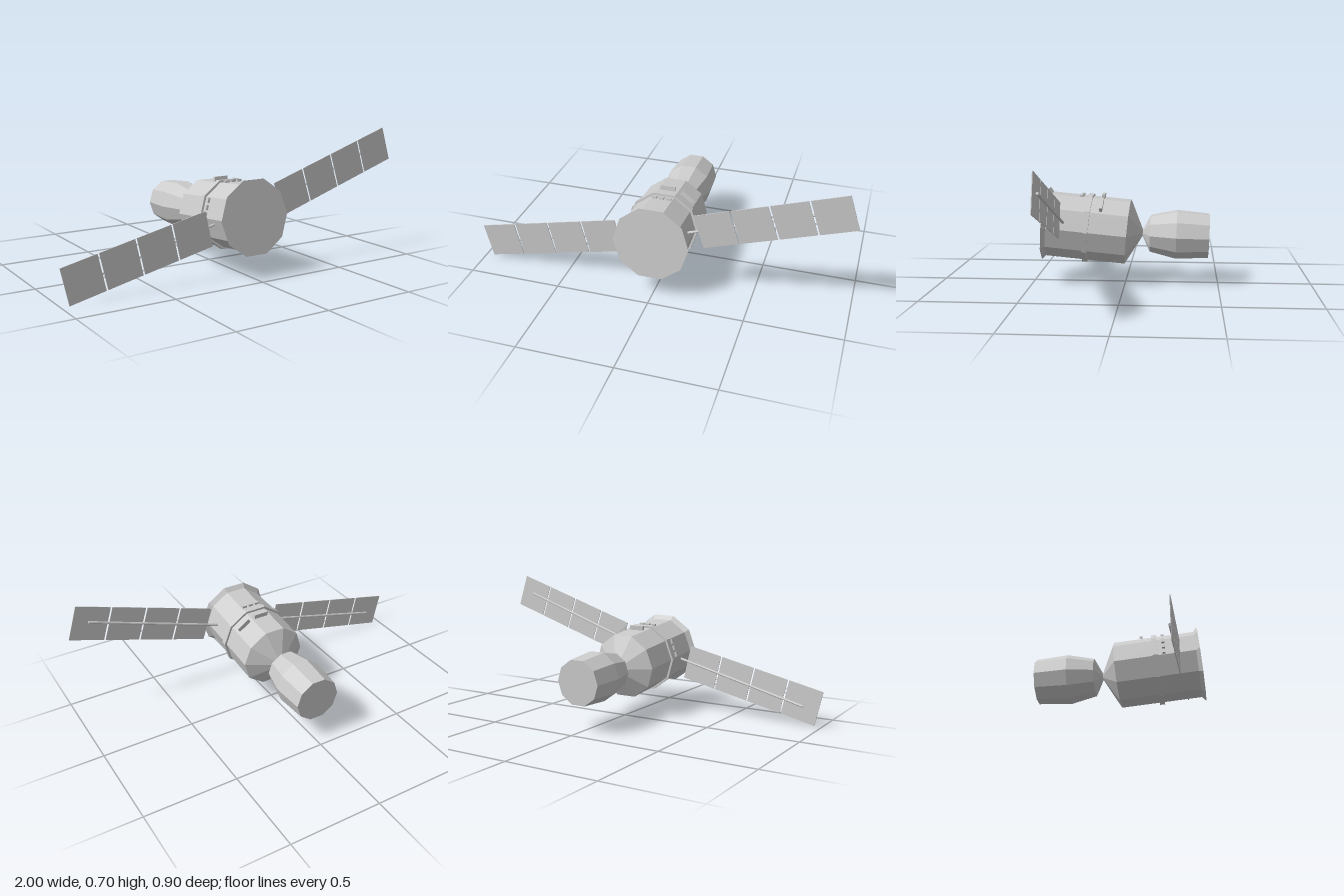
import * as THREE from 'three';

const SIDES = 10;
const APOTHEM = 0.177 * Math.cos(Math.PI / SIDES);

export function createModel() {
  const model = new THREE.Group();
  model.name = 'spacecraft';
  const grey = new THREE.MeshStandardMaterial({ color: 0xcccccc, flatShading: true });

  const add = (parent, name, geometry, x = 0, y = 0, z = 0) => {
    const mesh = new THREE.Mesh(geometry, grey);
    mesh.name = name;
    mesh.position.set(x, y, z);
    parent.add(mesh);
    return mesh;
  };

  // Ten-sided turned body along z, from [radius, z] pairs running back to front
  const turned = (profile) =>
    new THREE.LatheGeometry(profile.map(([r, z]) => new THREE.Vector2(r, z)), SIDES, Math.PI / 2)
      .rotateX(Math.PI / 2);

  // Main body, pitched slightly nose up
  const body = new THREE.Group();
  body.name = 'mainBody';
  body.position.set(-0.004, 0.28, 0);
  body.rotation.x = -0.094;
  model.add(body);
  add(body, 'hull', turned([[0, -0.096], [0.012, -0.096], [0.177, -0.013], [0.177, 0.415], [0.2, 0.436], [0, 0.436]]));
  add(body, 'hullBand', turned([[0.17, 0.19], [0.189, 0.19], [0.189, 0.217], [0.17, 0.217]]));

  // Block fixed to the facet that faces the given angle, shifted along the facet
  const facetBlock = (name, degrees, shift, z, width, height, depth) => {
    const a = THREE.MathUtils.degToRad(degrees);
    const r = APOTHEM + height / 2 - 0.001;
    const block = add(body, name, new THREE.BoxGeometry(width, height, depth),
      Math.cos(a) * r + Math.sin(a) * shift, Math.sin(a) * r - Math.cos(a) * shift, z);
    block.rotation.z = a - Math.PI / 2;
  };
  for (const angle of [90, 54]) facetBlock('rail', angle, 0, 0.135, 0.08, 0.025, 0.015);
  for (const angle of [90, 162])
    for (const shift of [-0.038, 0, 0.038]) facetBlock('sensor', angle, shift, 0.25, 0.025, 0.013, 0.016);

  // Aft module joined at the narrow neck
  const aft = new THREE.Group();
  aft.name = 'aftModule';
  aft.position.set(-0.005, 0.272, -0.093);
  aft.rotation.x = -0.031;
  model.add(aft);
  add(aft, 'aftHull', turned([[0, -0.356], [0.121, -0.356], [0.1335, -0.182], [0.101, -0.041], [0.012, 0.003], [0, 0.003]]));

  // Solar wings: four thin panels in a row with a spar behind them
  const wings = [
    { name: 'leftWing', panels: [[0.218, 0.371], [0.968, 0.615]], spar: [[0.15, 0.347], [0.885, 0.6]] },
    { name: 'rightWing', panels: [[-0.21, 0.268], [-0.979, 0.095]], spar: [[-0.15, 0.29], [-0.895, 0.1]] },
  ];
  for (const { name, panels, spar } of wings) {
    const wing = new THREE.Group();
    wing.name = name;
    model.add(wing);

    const [start, end] = panels.map(([x, y]) => new THREE.Vector3(x, y, 0.329));
    const length = start.distanceTo(end);
    const angle = Math.atan((end.y - start.y) / (end.x - start.x));
    const gap = 0.009;
    const width = (length - 3 * gap) / 4;
    for (let i = 0; i < 4; i++) {
      const panel = add(wing, 'solarPanel', new THREE.BoxGeometry(width, 0.189, 0.004));
      panel.position.lerpVectors(start, end, (width / 2 + i * (width + gap)) / length);
      panel.rotation.z = angle;
    }

    const [root, tip] = spar.map(([x, y]) => new THREE.Vector3(x, y, 0.32));
    const bar = add(wing, 'spar', new THREE.CylinderGeometry(0.007, 0.007, root.distanceTo(tip), 8));
    bar.position.lerpVectors(root, tip, 0.5);
    bar.quaternion.setFromUnitVectors(new THREE.Vector3(0, 1, 0), tip.clone().sub(root).normalize());
  }
  return model;
}
